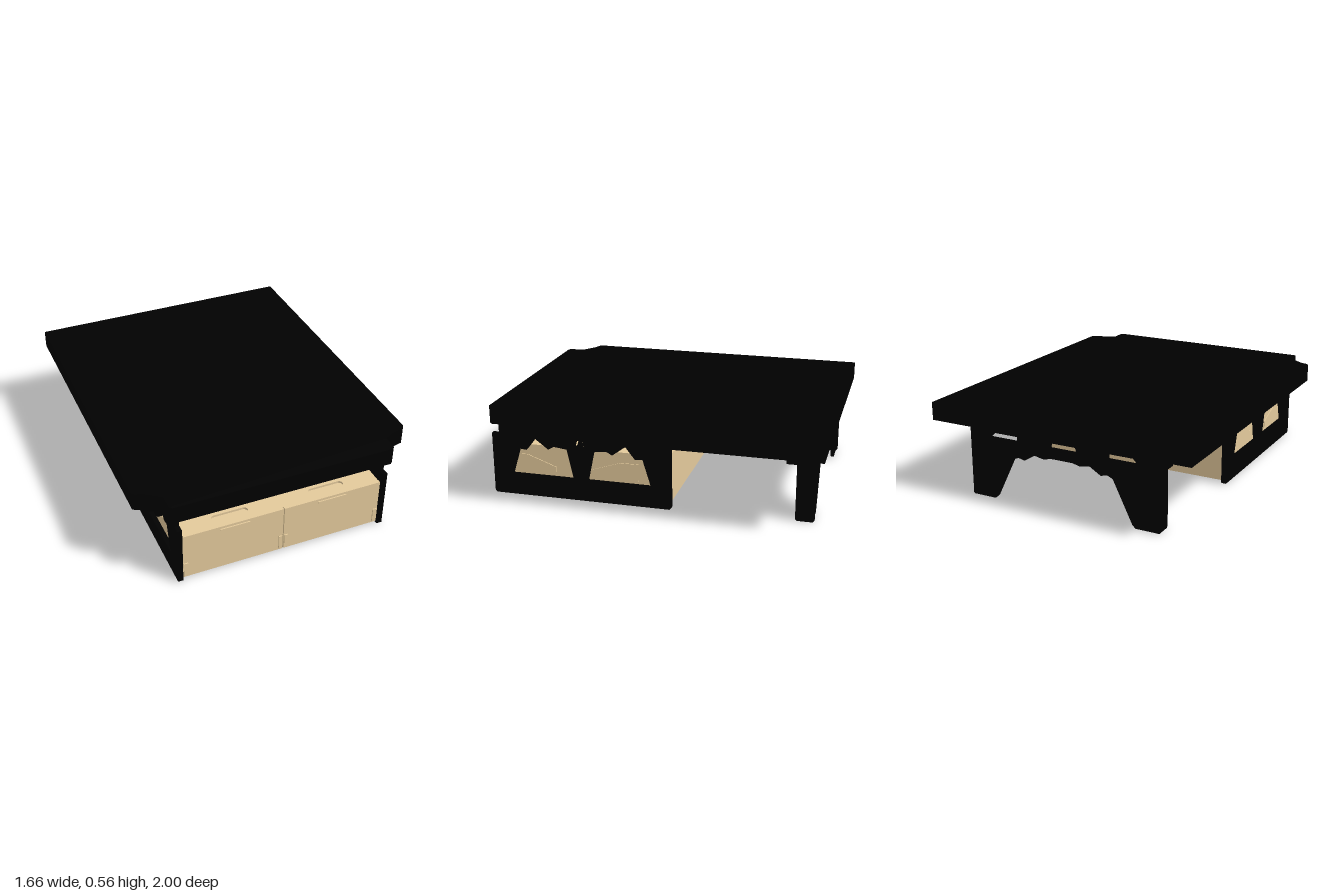
import * as THREE from 'three';

const black = new THREE.MeshStandardMaterial({ color: 0x000000 });
black.name = 'black coating';
const tan = new THREE.MeshStandardMaterial({ color: 0xe3c99b });
tan.name = 'tan plywood';

const pts = (list) => list.map(([x, y]) => new THREE.Vector2(x, y));
const rect = (x0, y0, x1, y1) => [[x0, y0], [x1, y0], [x1, y1], [x0, y1]];

// Flat cut sheet with holes: plane 'front' (x,y), 'side' (z,y) or 'flat' (x,z);
// it fills the range from a to b along the remaining axis.
function sheet(name, material, plane, outline, a, b, holes = []) {
  const shape = new THREE.Shape(pts(outline));
  holes.forEach((h) => shape.holes.push(new THREE.Path(pts(h))));
  const geo = new THREE.ExtrudeGeometry(shape, { depth: b - a, bevelEnabled: false });
  if (plane === 'front') geo.translate(0, 0, a);
  if (plane === 'side') geo.rotateY(-Math.PI / 2).translate(b, 0, 0);
  if (plane === 'flat') geo.rotateX(Math.PI / 2).translate(0, b, 0);
  const mesh = new THREE.Mesh(geo, material);
  mesh.name = name;
  return mesh;
}

function block(name, material, x0, x1, y0, y1, z0, z1) {
  const mesh = new THREE.Mesh(new THREE.BoxGeometry(x1 - x0, y1 - y0, z1 - z0), material);
  mesh.position.set((x0 + x1) / 2, (y0 + y1) / 2, (z0 + z1) / 2);
  mesh.name = name;
  return mesh;
}

// Rounded slot outline centred at (x, y)
function capsule(x, y, length, r) {
  const out = [];
  for (let i = 0; i < 16; i++) {
    const t = -Math.PI / 2 + (i + 0.5) * Math.PI / 8;
    out.push([x + (i < 8 ? 1 : -1) * (length / 2 - r) + r * Math.cos(t), y + r * Math.sin(t)]);
  }
  return out;
}

function bedTop() {
  return sheet('mattress', black, 'flat', [
    [-0.83, -1], [0.83, -1], [0.83, 0.83], [0.815, 0.85], [0.75, 0.865], [0.675, 0.9], [0.675, 0.985], [0.66, 1],
    [-0.665, 1], [-0.68, 0.985], [-0.68, 0.9], [-0.77, 0.835], [-0.815, 0.82], [-0.83, 0.805],
  ], 0.447, 0.555);
}

function sidePanels(group) {
  const window1 = [[0.88, 0.13], [0.83, 0.295], [0.785, 0.29], [0.727, 0.365], [0.646, 0.305],
    [0.61, 0.325], [0.53, 0.315], [0.49, 0.13]];
  const window2 = window1.map(([z, y]) => [0.895 - z, y]);
  const outline = [[-0.095, 0], [0.99, 0], [1, 0.01], [1, 0.38], [0.955, 0.38], [0.955, 0.45],
    [0.478, 0.45], [0.462, 0.4], [0.482, 0.335], [0.468, 0.335], [0.45, 0.385], [0.432, 0.335], [0.418, 0.335],
    [0.438, 0.4], [0.422, 0.45], [-0.07, 0.45], [-0.07, 0.38], [-0.105, 0.38], [-0.105, 0.01]];
  for (const s of [-1, 1]) {
    const c = s * 0.631;
    group.add(sheet('side panel', black, 'side', outline, c - 0.014, c + 0.014, [window1, window2]));
    // Outrigger brackets that carry the overhang
    const wing = [[0.64, 0.45], [0.64, 0.34], [0.685, 0.34], [0.697, 0.352], [0.697, 0.39],
      [0.74, 0.392], [0.763, 0.41], [0.763, 0.45]].map(([x, y]) => [s * x, y]);
    for (const z of [0.79, 0.57, 0.33, -0.03]) {
      group.add(sheet('outrigger bracket', black, 'front', wing, z - 0.012, z + 0.012));
    }
  }
}

function rearStand(group) {
  const half = [[0.605, 0.01], [0.595, 0], [0.465, 0], [0.445, 0.02], [0.325, 0.265], [0.29, 0.28], [0.25, 0.27],
    [0.18, 0.312], [0.12, 0.3], [0.07, 0.312]];
  const outline = [[-0.605, 0.45], ...half.map(([x, y]) => [-x, y]), ...half.slice().reverse(), [0.605, 0.45]];
  const slots = [[-0.48, -0.295, 0.03, 0], [-0.1, 0.08, 0.012, 0.012], [0.295, 0.48, 0, 0.03]]
    .map(([a, b, l, r]) => [[a, 0.375], [b, 0.375], [b - r, 0.405], [a + l, 0.405]]);
  group.add(sheet('rear panel', black, 'front', outline, -0.925, -0.905, slots));
  // Legs with a small braced head
  const leg = [[-0.935, 0.01], [-0.925, 0], [-0.835, 0], [-0.825, 0.01], [-0.825, 0.34], [-0.765, 0.34],
    [-0.765, 0.45], [-0.935, 0.45]];
  const brace = [[-0.82, 0.44], [-0.86, 0.44], [-0.862, 0.425], [-0.84, 0.42]];
  for (const s of [-1, 1]) {
    group.add(sheet('rear leg', black, 'side', leg, s * 0.598 - 0.013, s * 0.598 + 0.013, [brace]));
  }
}

function platform(group) {
  // Slatted deck between the cabinet and the rear stand
  const slots = [];
  for (const z of [-0.3, -0.6]) {
    for (let i = -3; i <= 3; i++) {
      const x = i * 0.14;
      slots.push([[x - 0.04, z - 0.07], [x - 0.015, z - 0.07], [x + 0.04, z + 0.07], [x + 0.015, z + 0.07]]);
    }
  }
  group.add(sheet('deck', black, 'flat', rect(-0.6, -0.9, 0.6, -0.03), 0.422, 0.44, slots));
  for (const x of [-0.57, 0.57]) group.add(block('deck rail', black, x - 0.015, x + 0.015, 0.389, 0.45, -0.9, -0.06));
  for (const z of [-0.1, -0.45, -0.76]) group.add(block('deck rib', black, -0.6, 0.6, 0.392, 0.445, z - 0.012, z + 0.012));
}

function drawers(group) {
  // Cut-out base: a runs across one half, b runs back to front
  const cuts = [
    [[0.045, 0.21], [0.1, 0.09], [0.38, 0.08], [0.4, 0.3], [0.255, 0.41]],
    [[0.09, 0.43], [0.205, 0.54], [0.105, 0.645]],
    [[0.06, 0.86], [0.135, 0.73], [0.37, 0.72], [0.44, 0.8], [0.45, 0.92], [0.18, 0.94]],
    [[0.31, 0.53], [0.44, 0.47], [0.435, 0.63]],
  ];
  const sidePlates = [
    [[0.86, 0.14], [0.86, 0.25], [0.79, 0.25], [0.61, 0.185], [0.61, 0.14]],
    [[0.1, 0.14], [0.1, 0.25], [0.21, 0.25], [0.39, 0.19], [0.39, 0.14]],
  ];
  for (const s of [-1, 1]) {
    const drawer = new THREE.Group();
    drawer.name = s < 0 ? 'right drawer' : 'left drawer';
    const span = (a, b) => (s > 0 ? [a, b] : [-b, -a]);
    const box = (name, a, b, ...rest) => drawer.add(block(name, tan, ...span(a, b), ...rest));
    const cross = (x0, y0, x1, y1) => rect(s * x0, y0, s * x1, y1);
    drawer.add(sheet('drawer base', tan, 'flat', cross(0, -0.085, 0.612, 0.97), 0.015, 0.032,
      cuts.map((h) => h.map(([a, b]) => [s * (0.62 - 1.24 * a), -0.08 + 1.05 * b]))));
    box('drawer front', 0.003, 0.612, 0.018, 0.315, 0.965, 0.985);
    box('drawer back', 0, 0.61, 0.032, 0.302, -0.085, -0.067);
    box('inner wall', 0, 0.016, 0.032, 0.302, -0.067, 0.965);
    box('outer wall', 0.592, 0.61, 0.032, 0.302, -0.067, 0.965);
    for (const p of sidePlates) drawer.add(sheet('side plate', tan, 'side', p, ...span(0.609, 0.615)));
    drawer.add(sheet('drawer lid', tan, 'flat', cross(0, -0.085, 0.61, 0.965), 0.302, 0.315,
      [capsule(s * 0.3, 0.905, 0.22, 0.022)]));
    // Grip plate and corner joints on the front
    drawer.add(sheet('grip', tan, 'front', [[s * 0.21, 0.3], [s * 0.39, 0.3], [s * 0.39, 0.29], [s * 0.375, 0.28],
      [s * 0.225, 0.28], [s * 0.21, 0.29]], 0.984, 0.992));
    box('outer corner joint', 0.582, 0.608, 0.025, 0.12, 0.984, 0.992);
    box('inner corner joint', 0.006, 0.028, 0.025, 0.12, 0.984, 0.992);
    group.add(drawer);
  }
}

export function createModel() {
  const model = new THREE.Group();
  model.name = 'bed with drawers';
  model.add(bedTop());
  for (const [name, build] of [['cabinet sides', sidePanels], ['rear stand', rearStand],
    ['platform', platform], ['drawer unit', drawers]]) {
    const part = new THREE.Group();
    part.name = name;
    build(part);
    model.add(part);
  }
  return model;
}
